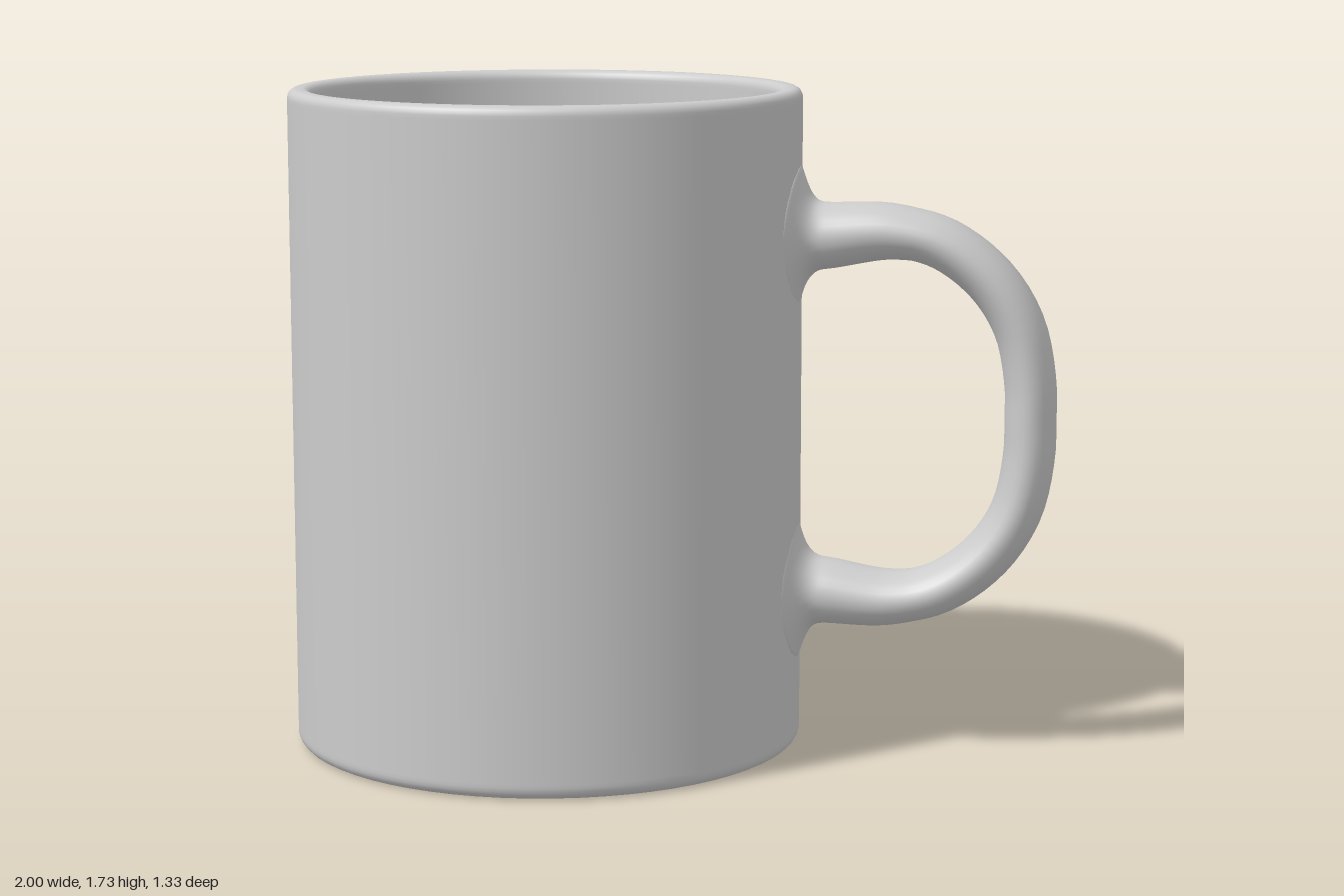
import * as THREE from 'three';

const R = 0.667, INNER = 0.605, HEIGHT = 1.725, FLOOR = 0.07;
const CUP_X = -0.333, MID_Y = 0.8825;

// Quarter-round corner for the lathe profile, from angle a0 to a1 (degrees)
function corner(cx, cy, r, a0, a1, steps = 5) {
  return Array.from({ length: steps + 1 }, (_, i) => {
    const a = THREE.MathUtils.degToRad(a0 + ((a1 - a0) * i) / steps);
    return new THREE.Vector2(cx + r * Math.cos(a), cy + r * Math.sin(a));
  });
}

// Cup: one closed profile running under the base, up the wall, over the rim and down inside
function cupGeometry() {
  const v = (x, y) => new THREE.Vector2(x, y);
  const b = 0.032, t = 0.024, f = 0.03;
  const profile = [
    v(0, 0), v(R - b - 0.01, 0),
    ...corner(R - b, b, b, -90, 0),
    v(R, b + 0.01), v(R, HEIGHT - t - 0.01),
    ...corner(R - t, HEIGHT - t, t, 0, 90),
    ...corner(INNER + t, HEIGHT - t, t, 90, 180),
    v(INNER, HEIGHT - t - 0.01), v(INNER, FLOOR + f + 0.01),
    ...corner(INNER - f, FLOOR + f, f, 0, -90),
    v(INNER - f - 0.01, FLOOR), v(0, FLOOR),
  ];
  return new THREE.LatheGeometry(profile, 64);
}

// Handle: elliptical sections swept along a mirrored loop, flaring onto the cup wall
function handleGeometry() {
  const upper = [[0.328, 1.35], [0.4, 1.35], [0.57, 1.363], [0.7, 1.335],
    [0.823, 1.245], [0.9, 1.125], [0.931, 0.98]];
  const lower = upper.map(([x, y]) => [x, 2 * MID_Y - y]).reverse();
  const path = new THREE.CatmullRomCurve3(
    [...upper, [0.933, MID_Y], ...lower].map(([x, y]) => new THREE.Vector3(x, y, 0)));

  const rings = 96, sides = 32, pos = [], index = [];
  for (let i = 0; i <= rings; i++) {
    // Sections crowd together toward both ends, where the flare is
    const s = i / rings;
    const u = THREE.MathUtils.clamp(s - (0.9 * Math.sin(2 * Math.PI * s)) / (2 * Math.PI), 0, 1);
    const c = path.getPointAt(u), t = path.getTangentAt(u);
    const d = Math.max(0, c.x - (R + CUP_X));
    const near = Math.max(0, 1 - d / 0.07);
    const flare = 0.085 * near ** 3;
    const thick = 0.067 + 0.025 * Math.max(0, 1 - d / 0.3) + flare;
    const wide = 0.108 + 0.8 * flare;
    for (let j = 0; j < sides; j++) {
      const a = (j / sides) * Math.PI * 2;
      const n = thick * Math.cos(a), z = wide * Math.sin(a);
      const sag = (Math.sqrt(R * R - z * z) - R) * near; // follow the round wall
      pos.push(c.x - t.y * n + sag, c.y + t.x * n, z);
      if (i < rings) {
        const k = (j + 1) % sides, p = i * sides, q = p + sides;
        index.push(p + j, p + k, q + j, p + k, q + k, q + j);
      }
    }
  }
  const geo = new THREE.BufferGeometry();
  geo.setAttribute('position', new THREE.Float32BufferAttribute(pos, 3));
  geo.setIndex(index);
  geo.computeVertexNormals();
  return geo;
}

export function createModel() {
  const group = new THREE.Group();
  group.name = 'mug';
  const material = new THREE.MeshStandardMaterial({ color: 0xcccccc });

  const cup = new THREE.Mesh(cupGeometry(), material);
  cup.name = 'cup';
  cup.position.x = CUP_X;

  const handle = new THREE.Mesh(handleGeometry(), material);
  handle.name = 'handle';

  group.add(cup, handle);
  return group;
}
